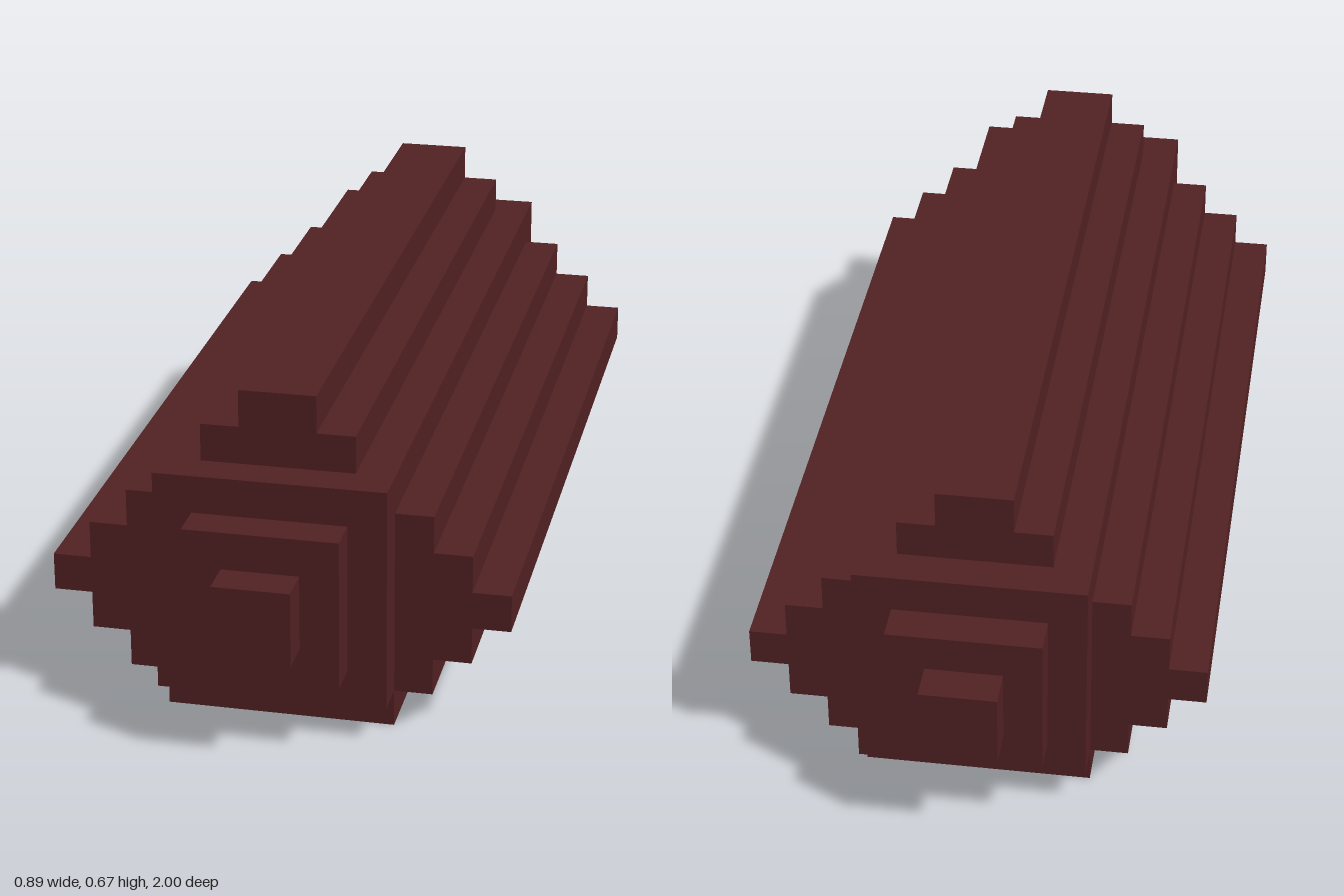
import * as THREE from 'three';

const U = 2 / 27; // one step of the stepped form

export function createModel() {
  const model = new THREE.Group();
  model.name = 'steppedBlock';
  const maroon = new THREE.MeshStandardMaterial({ color: 0x522123 });
  maroon.name = 'dark maroon';

  // Body: stepped profile, half width of each layer from the bottom up
  const halfWidths = [3, 4, 5, 6, 5, 4, 3, 2, 1];
  const rightSide = [];
  halfWidths.forEach((w, i) => {
    rightSide.push(new THREE.Vector2(w * U, i * U), new THREE.Vector2(w * U, (i + 1) * U));
  });
  const leftSide = rightSide.map((p) => new THREE.Vector2(-p.x, p.y)).reverse();
  const bodyGeometry = new THREE.ExtrudeGeometry(new THREE.Shape([...rightSide, ...leftSide]), {
    depth: 21 * U,
    bevelEnabled: false,
  });
  bodyGeometry.translate(0, 0, -10.5 * U);
  const body = new THREE.Mesh(bodyGeometry, maroon);
  body.name = 'body';
  model.add(body);

  // Square plates stacked in shrinking steps on both ends
  for (const [end, side] of [['front', 1], ['back', -1]]) {
    [6, 4, 2].forEach((size, i) => {
      const plate = new THREE.Mesh(new THREE.BoxGeometry(size * U, size * U, U), maroon);
      plate.position.set(0, 4 * U, side * (11 + i) * U);
      plate.name = `${end}Plate${i + 1}`;
      model.add(plate);
    });
  }

  return model;
}
